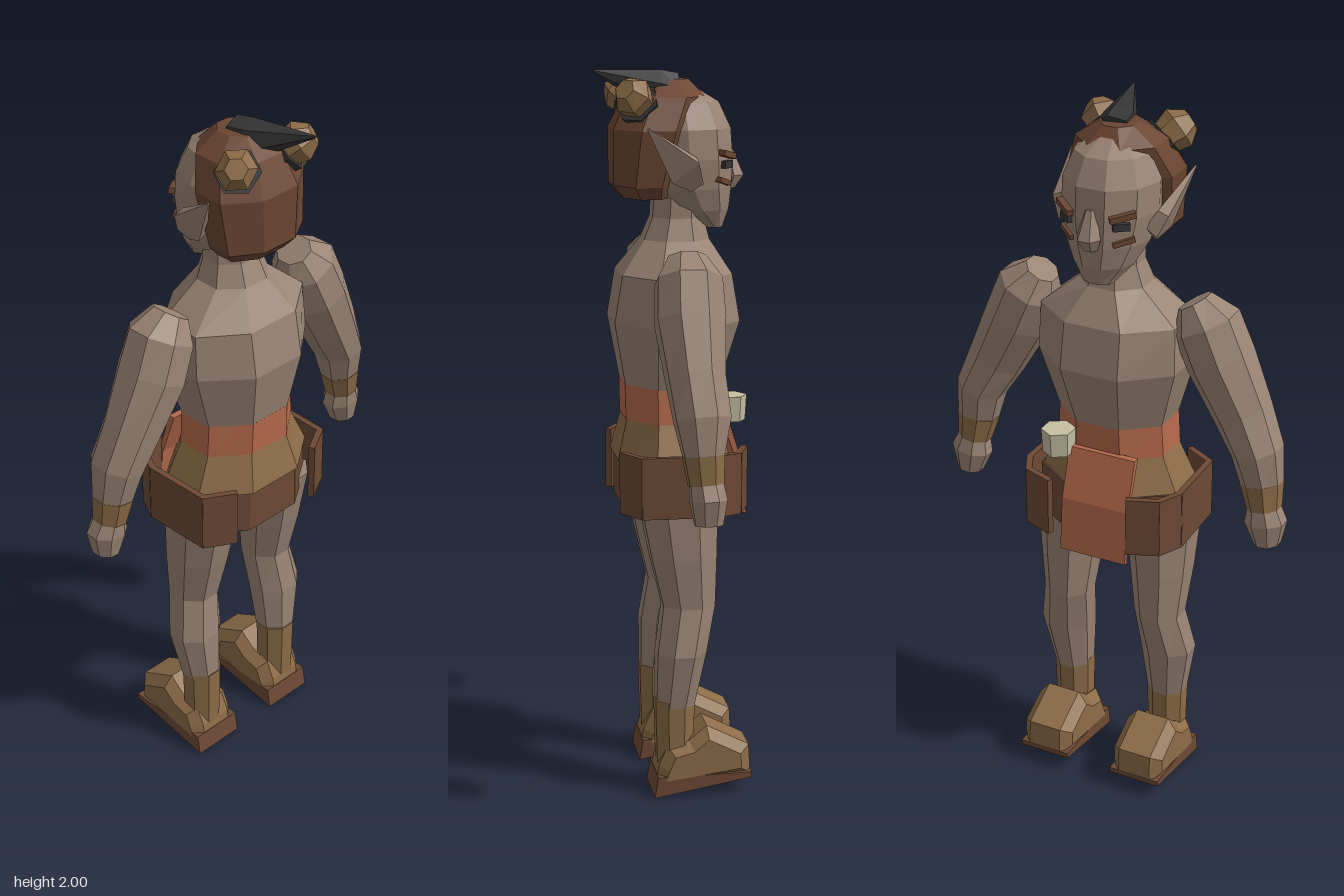
import * as THREE from 'three';

const mat = (name, color) => Object.assign(new THREE.MeshStandardMaterial({ color }), { name });
const V = (x, y, z) => new THREE.Vector3(x, y, z);

// Gives every face its own flat normal
function flat(geo) {
  const g = geo.index ? geo.toNonIndexed() : geo;
  g.computeVertexNormals();
  return g;
}

// Closed skin through rings [x, y, z, half width, half depth]; level keeps the rings horizontal
function loft(rings, sides = 8, level = true) {
  const pos = [], idx = [], last = rings.length - 1;
  const centre = (i) => V(...rings[Math.max(0, Math.min(last, i))].slice(0, 3));
  rings.forEach(([x, y, z, w, d], i) => {
    const t = level ? V(0, 1, 0) : centre(i + 1).sub(centre(i - 1)).normalize();
    const u = V(0, 0, 1).addScaledVector(t, -t.z).normalize();
    const v = t.clone().cross(u);
    for (let j = 0; j < sides; j++) {
      const a = (j + 0.5) / sides * Math.PI * 2, k = 1 / Math.cos(Math.PI / sides);
      const p = V(x, y, z).addScaledVector(u, Math.cos(a) * d * k).addScaledVector(v, Math.sin(a) * w * k);
      pos.push(p.x, p.y, p.z);
      const n = (j + 1) % sides, b = i * sides;
      if (i < last) idx.push(b + j, b + n, b + sides + n, b + j, b + sides + n, b + sides + j);
    }
  });
  for (let j = 1; j < sides - 1; j++) {
    const b = last * sides;
    idx.push(0, j + 1, j, b, b + j, b + j + 1);
  }
  const g = new THREE.BufferGeometry();
  g.setAttribute('position', new THREE.Float32BufferAttribute(pos, 3));
  g.setIndex(idx);
  return flat(g);
}

// Side outline of [z, y] points given a width along x
function sideSolid(points, width, bevel) {
  const shape = new THREE.Shape(points.map(([z, y]) => new THREE.Vector2(-z, y)));
  const g = new THREE.ExtrudeGeometry(shape, {
    depth: width - 2 * bevel, bevelEnabled: bevel > 0, bevelSegments: 1,
    bevelThickness: bevel, bevelSize: bevel, bevelOffset: -bevel,
  });
  g.translate(0, 0, -(width - 2 * bevel) / 2).rotateY(Math.PI / 2);
  return flat(g);
}

export function createModel() {
  const root = new THREE.Group();
  root.name = 'goblin';
  const skin = mat('skin', 0x9a8474), brown = mat('brown leather', 0x6d4935);
  const tan = mat('tan leather', 0x8d6c48), orange = mat('orange cloth', 0xb5694c);
  const bone = mat('bone', 0xc6bfa2), black = mat('black', 0x343434);
  const hairBrown = mat('hair brown', 0x6b4632);
  const add = (name, geo, material) => {
    const m = new THREE.Mesh(geo, material);
    m.name = name;
    root.add(m);
    return m;
  };

  // Trunk and waist
  add('torso', loft([
    [0, 1.14, -0.005, 0.155, 0.13], [0, 1.32, -0.015, 0.205, 0.172], [0, 1.45, -0.015, 0.2, 0.15],
    [0, 1.54, -0.02, 0.095, 0.09], [0, 1.6, -0.025, 0.075, 0.07], [0, 1.69, -0.03, 0.075, 0.07]]), skin);
  add('sash', loft([[0, 1.05, -0.005, 0.162, 0.13], [0, 1.15, -0.005, 0.156, 0.132]]), orange);
  add('hipWrap', loft([[0, 0.94, -0.005, 0.21, 0.155], [0, 1.05, -0.005, 0.16, 0.128]]), tan);
  add('skirt', loft([[0, 0.81, -0.01, 0.215, 0.15], [0, 0.95, -0.01, 0.21, 0.15]]), brown);

  // Front cloth and pouch
  const cloth = sideSolid([[-0.13, 1.07], [-0.15, 1.07], [-0.195, 0.93], [-0.21, 0.775],
    [-0.195, 0.775], [-0.18, 0.93]], 0.2, 0);
  cloth.translate(-0.02, 0, 0);
  add('loincloth', cloth, orange);
  const pouch = add('pouch', flat(new THREE.CylinderGeometry(0.048, 0.044, 0.07, 6)), bone);
  pouch.position.set(0.11, 1.085, -0.155);

  for (const s of [1, -1]) {
    const side = s > 0 ? 'left' : 'right';

    // Hip flap wrapped from back to front
    const path = [[0.15, 0.145], [0.228, 0.1], [0.232, -0.1], [0.2, -0.165], [0.12, -0.195]];
    for (let i = 0; i < 4; i++) {
      const [x0, z0] = path[i], [x1, z1] = path[i + 1];
      const flap = add(side + 'HipFlap', flat(new THREE.BoxGeometry(0.018, 0.17, Math.hypot(x1 - x0, z1 - z0) + 0.008)), brown);
      flap.position.set(s * (x0 + x1) / 2, 0.892, (z0 + z1) / 2);
      flap.rotation.y = Math.atan2(s * (x1 - x0), z1 - z0);
    }

    // Arm, bracer and hand
    add(side + 'Arm', loft([
      [s * 0.228, 1.515, -0.015, 0.045, 0.05], [s * 0.262, 1.46, -0.015, 0.088, 0.085],
      [s * 0.305, 1.36, -0.012, 0.088, 0.09], [s * 0.375, 1.22, -0.015, 0.077, 0.075],
      [s * 0.425, 1.12, -0.025, 0.066, 0.072], [s * 0.442, 1.02, -0.025, 0.055, 0.05]], 8, false), skin);
    add(side + 'Bracer', loft([[s * 0.44, 1.03, -0.025, 0.057, 0.053],
      [s * 0.452, 0.955, -0.03, 0.045, 0.045]], 8, false), tan);
    add(side + 'Hand', loft([[s * 0.451, 0.965, -0.03, 0.04, 0.042], [s * 0.46, 0.915, -0.035, 0.056, 0.047],
      [s * 0.467, 0.85, -0.035, 0.035, 0.036]], 8, false), skin);

    // Leg, boot shaft and shoe
    add(side + 'Leg', loft([
      [s * 0.153, 0.24, 0.005, 0.052, 0.052], [s * 0.162, 0.41, -0.012, 0.074, 0.068],
      [s * 0.145, 0.54, -0.035, 0.067, 0.072], [s * 0.143, 0.68, -0.02, 0.083, 0.09],
      [s * 0.138, 0.85, -0.005, 0.098, 0.108]]), skin);
    add(side + 'BootShaft', loft([[s * 0.153, 0.07, 0.005, 0.05, 0.05],
      [s * 0.153, 0.27, 0.005, 0.055, 0.055]]), tan);
    const upper = sideSolid([[0.065, 0.02], [0.055, 0.085], [0.03, 0.14], [-0.03, 0.155], [-0.08, 0.197],
      [-0.2, 0.135], [-0.205, 0.05]], 0.155, 0.028);
    upper.translate(s * 0.147, 0, 0);
    add(side + 'Shoe', upper, tan);
    const sole = sideSolid([[0.07, 0], [0.06, 0.06], [-0.205, 0.062], [-0.205, 0.047]], 0.155, 0);
    sole.translate(s * 0.147, 0, 0);
    add(side + 'Sole', sole, brown);

    // Pointed ear
    add(side + 'Ear', loft([[s * 0.12, 1.7, -0.06, 0.02, 0.02], [s * 0.143, 1.735, -0.025, 0.016, 0.045],
      [s * 0.18, 1.85, 0.08, 0.002, 0.002]], 4, false), skin);

    // Brow, eye and cheek mark
    const faceBar = (name, y, z, w, h, m, x, tilt) => {
      const bar = add(side + name, flat(new THREE.BoxGeometry(w, h, 0.02)), m);
      bar.position.set(s * x, y, z);
      bar.rotation.set(0, -s * 0.65, s * tilt, 'YXZ');
    };
    faceBar('Brow', 1.772, -0.15, 0.07, 0.016, hairBrown, 0.083, 0.2);
    faceBar('Eye', 1.745, -0.148, 0.045, 0.02, black, 0.078, 0);
    faceBar('CheekMark', 1.7, -0.138, 0.06, 0.014, hairBrown, 0.08, 0.25);

    // Tied hair bun
    add(side + 'BunTie', loft([[s * 0.045, 1.86, 0.05, 0.035, 0.035],
      [s * 0.09, 1.91, 0.092, 0.055, 0.052]], 6, false), black);
    add(side + 'Bun', loft([[s * 0.088, 1.908, 0.09, 0.04, 0.04], [s * 0.114, 1.932, 0.112, 0.05, 0.047],
      [s * 0.137, 1.95, 0.135, 0.026, 0.026]], 6, false), tan);
  }

  // Head, nose and mouth
  add('head', loft([
    [0, 1.57, -0.125, 0.04, 0.025], [0, 1.62, -0.085, 0.08, 0.08], [0, 1.68, -0.055, 0.11, 0.115],
    [0, 1.76, -0.04, 0.127, 0.133], [0, 1.84, -0.035, 0.128, 0.132], [0, 1.91, -0.03, 0.1, 0.105],
    [0, 1.95, -0.02, 0.05, 0.05]], 10), skin);
  add('nose', loft([[0, 1.675, -0.17, 0.018, 0.015], [0, 1.71, -0.178, 0.03, 0.03],
    [0, 1.785, -0.165, 0.013, 0.012]], 6), skin);
  const mouth = add('mouth', flat(new THREE.BoxGeometry(0.07, 0.008, 0.008)), hairBrown);
  mouth.position.set(0, 1.648, -0.157);

  // Hair shell and swept-back top horn
  add('hair', loft([[0, 1.655, 0.06, 0.105, 0.065], [0, 1.69, 0.07, 0.135, 0.085],
    [0, 1.84, 0.045, 0.15, 0.11], [0, 1.925, 0.01, 0.115, 0.105], [0, 1.97, 0, 0.05, 0.055]]), hairBrown);
  add('topHorn', loft([[0.015, 1.935, -0.015, 0.05, 0.045], [0.025, 1.945, 0.04, 0.048, 0.045],
    [0.065, 1.995, 0.21, 0.003, 0.003]], 6, false), black);

  return root;
}
